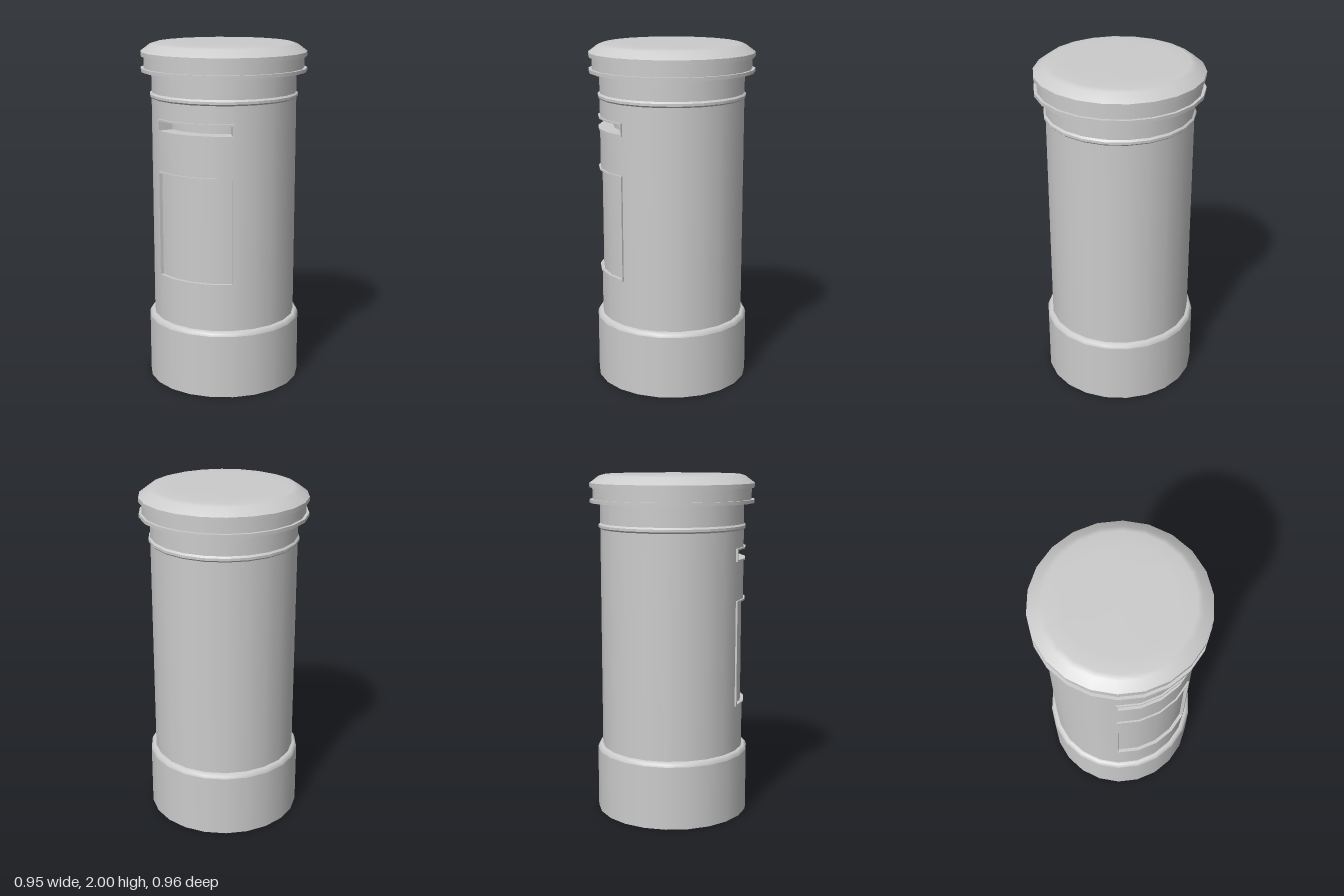
import * as THREE from 'three';
import { mergeGeometries } from 'three/addons/utils/BufferGeometryUtils.js';

const SIDES = 22;
const STEP = (Math.PI * 2) / SIDES;
const material = new THREE.MeshStandardMaterial({ color: 0xcccccc });

// Smooth swept profile; start and count are measured in sides from the front
function sweep(points, start = 0, count = SIDES) {
  const profile = points.map(([r, y]) => new THREE.Vector2(r, y));
  return new THREE.LatheGeometry(profile, Math.max(1, Math.round(count)), start * STEP, count * STEP);
}

// Same, with a hard edge at every profile point
function creased(points, start, count) {
  const bands = [];
  for (let i = 0; i < points.length - 1; i++) bands.push(sweep([points[i], points[i + 1]], start, count));
  return mergeGeometries(bands);
}

// Flat radial end of a curved bar
function endCap(r0, r1, y0, y1, at, flip) {
  const g = new THREE.PlaneGeometry(r1 - r0, y1 - y0);
  if (flip) g.rotateY(Math.PI);
  g.translate((r0 + r1) / 2, (y0 + y1) / 2, 0);
  return g.rotateY(at * STEP - Math.PI / 2);
}

// Closed bar that follows the wall
function curvedBar(r0, r1, y0, y1, start, count) {
  return mergeGeometries([
    creased([[r1, y0], [r1, y1], [r0, y1], [r0, y0], [r1, y0]], start, count),
    endCap(r0, r1, y0, y1, start, false),
    endCap(r0, r1, y0, y1, start + count, true),
  ]);
}

export function createModel() {
  const model = new THREE.Group();
  const add = (name, geometry, parent = model) => {
    const mesh = new THREE.Mesh(geometry, material);
    mesh.name = name;
    parent.add(mesh);
  };

  const R = 0.42;
  const HALF = 2; // openings reach two sides either way from the front
  const openings = [
    { name: 'door', y0: 0.675, y1: 1.275, back: 0.41, edge: 0.06 },
    { name: 'postSlot', y0: 1.52, y1: 1.575, back: 0.34, edge: 0.08 },
  ];

  // Base with a rounded shoulder and a shallow hollow underneath
  add('base', mergeGeometries([
    creased([[0, 0.02], [0.43, 0.02], [0.43, 0], [0.45, 0], [0.45, 0.37]]),
    sweep([[0.45, 0.37], [0.445, 0.385], [0.435, 0.394], [R, 0.396]]),
  ]));

  // Body wall, left open at the front for the door and slot
  const wall = [sweep([[R, 0.39], [R, 1.84]], HALF, SIDES - 2 * HALF)];
  let y = 0.39;
  for (const o of openings) {
    wall.push(sweep([[R, y], [R, o.y0]], -HALF, 2 * HALF));
    y = o.y1;
  }
  wall.push(sweep([[R, y], [R, 1.84]], -HALF, 2 * HALF));
  add('body', mergeGeometries(wall));

  // Raised frames with set-back panels
  for (const { name, y0, y1, back, edge } of openings) {
    const group = new THREE.Group();
    group.name = name;
    model.add(group);
    const rim = 0.43, lip = 0.01;
    add(name + 'Panel', sweep([[back, y0], [back, y1]], -HALF, 2 * HALF), group);
    add(name + 'Frame', mergeGeometries([
      curvedBar(back, rim, y1, y1 + lip, -HALF, 2 * HALF),
      curvedBar(back, rim, y0 - lip, y0, -HALF, 2 * HALF),
      curvedBar(back, rim, y0 - lip, y1 + lip, HALF, edge),
      curvedBar(back, rim, y0 - lip, y1 + lip, -HALF - edge, edge),
    ]), group);
  }

  // Thin band around the neck
  add('neckRing', creased([[R, 1.685], [0.43, 1.694], [0.43, 1.708], [R, 1.718]]));

  // Cap: two flanges with a groove between, and a softly domed lid
  add('capRim', creased([
    [R, 1.835], [0.48, 1.835], [0.48, 1.855], [0.463, 1.855],
    [0.463, 1.922], [0.48, 1.922], [0.48, 1.947],
  ]));
  add('lid', sweep([[0.48, 1.947], [0.425, 1.988], [0.395, 1.997], [0.3, 1.999], [0, 2]]));

  return model;
}
